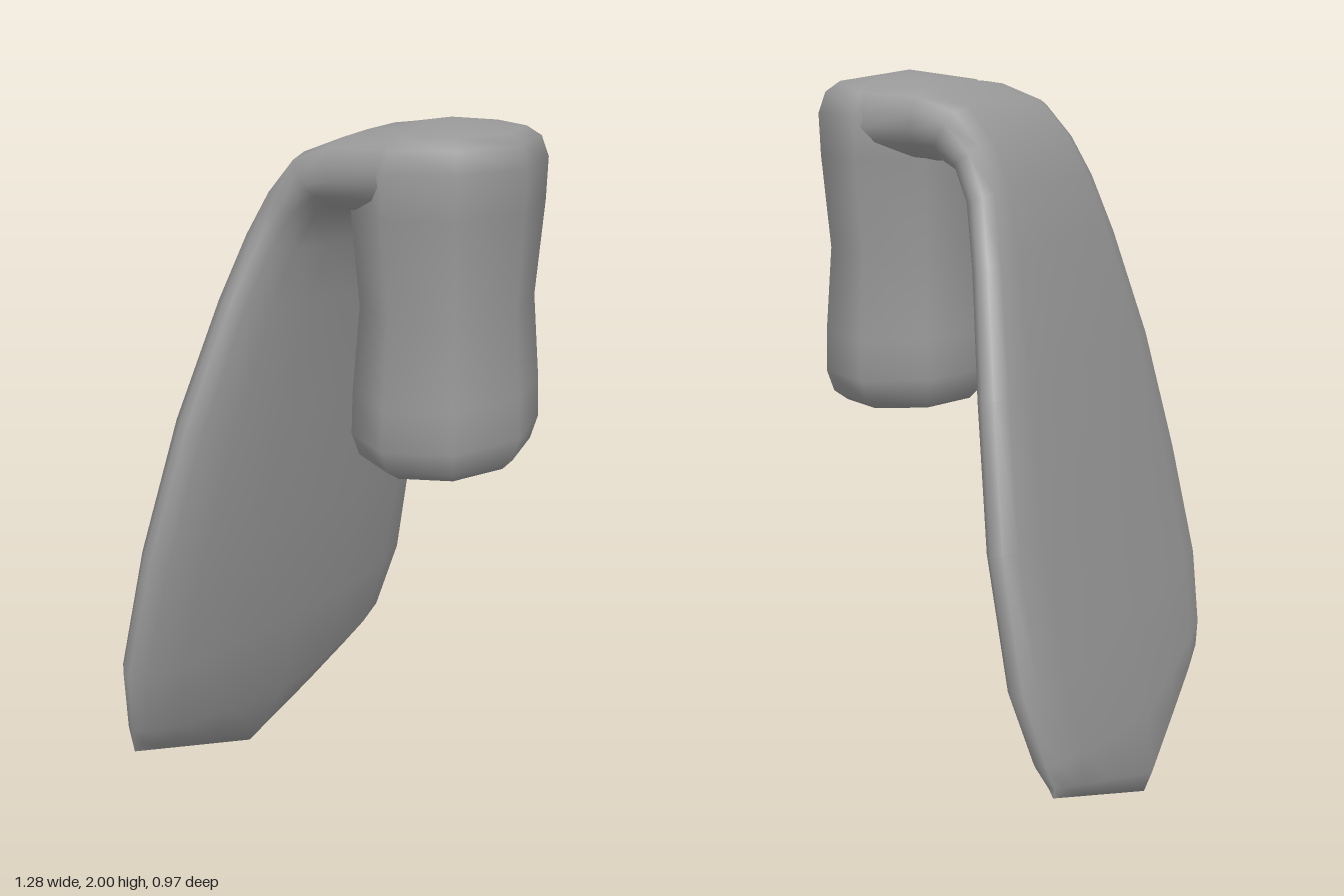
import * as THREE from 'three';
import { mergeVertices } from 'three/addons/utils/BufferGeometryUtils.js';

// Skin closed rings of [x, y, z] points into one smooth surface
function loft(rings) {
  const n = rings[0].length;
  const index = [];
  for (let i = 0; i < rings.length - 1; i++) {
    for (let j = 0; j < n; j++) {
      const a = i * n + j, b = i * n + (j + 1) % n;
      index.push(a, b, a + n, b, b + n, a + n);
    }
  }
  let geo = new THREE.BufferGeometry();
  geo.setAttribute('position', new THREE.Float32BufferAttribute(rings.flat(2), 3));
  geo.setIndex(index);
  geo = mergeVertices(geo, 1e-4);
  geo.computeVertexNormals();
  return geo;
}

// Waisted eight-sided block: [y, half width, half depth]
function bodyGeometry() {
  const rows = [
    [1.075, 0, 0], [1.1, 0.225, 0.178], [1.13, 0.275, 0.208], [1.19, 0.3, 0.225],
    [1.3, 0.297, 0.222], [1.53, 0.275, 0.205], [1.78, 0.305, 0.222], [1.89, 0.31, 0.225],
    [1.945, 0.28, 0.21], [1.972, 0.225, 0.178], [2, 0, 0],
  ];
  return loft(rows.map(([y, w, d]) => Array.from({ length: 8 }, (_, k) => {
    const a = k * Math.PI / 4;
    return [w * Math.sin(a), y, 0.26 + d * Math.cos(a)];
  })));
}

// Draped flap: [y, z, half width, front thickness, back thickness, tilt, rise at the rim]
function flapGeometry() {
  const rows = [
    [0.005, -0.465, 0.555, 0, 0, 0.2, 0.225],
    [0.06, -0.452, 0.565, 0.03, 0.036, 0.2, 0.2],
    [0.23, -0.405, 0.59, 0.075, 0.068, 0.2, 0.09],
    [0.52, -0.34, 0.64, 0.085, 0.083, 0.2, 0],
    [0.86, -0.27, 0.61, 0.086, 0.086, 0.19, 0],
    [1.22, -0.205, 0.52, 0.084, 0.086, 0.19, 0],
    [1.53, -0.14, 0.41, 0.078, 0.08, 0.22, 0],
    [1.69, -0.095, 0.345, 0.078, 0.08, 0.32, 0],
    [1.785, -0.045, 0.315, 0.08, 0.085, 0.55, 0],
    [1.845, 0.02, 0.308, 0.1, 0.1, 0.95, 0],
    [1.86, 0.1, 0.308, 0.11, 0.115, 1.45, 0],
    [1.86, 0.25, 0.3, 0.11, 0.125, 1.57, 0],
  ];
  // Across the flap: [side position, share of the thickness]
  const front = [[-1, 0], [-0.93, 0.35], [-0.75, 0.7], [-0.4, 0.93], [0, 1],
    [0.4, 0.93], [0.75, 0.7], [0.93, 0.35]];
  const back = [[1, 0], [0.985, 0.35], [0.94, 0.7], [0.75, 0.87], [0.4, 0.95], [0, 1],
    [-0.4, 0.95], [-0.75, 0.87], [-0.94, 0.7], [-0.985, 0.35]];
  return loft(rows.map(([y, z, w, tf, tb, tilt, rise]) => {
    const point = t => ([s, share]) => [
      w * s,
      y + rise * Math.abs(s) + t * share * Math.sin(tilt),
      z + 0.21 * rise * Math.abs(s) - t * share * Math.cos(tilt),
    ];
    return [...front.map(point(-tf)), ...back.map(point(tb))];
  }));
}

export function createModel() {
  const grey = new THREE.MeshStandardMaterial({ color: 0x999999 });
  grey.name = 'grey';
  const group = new THREE.Group();
  const parts = { body: bodyGeometry(), flap: flapGeometry() };
  for (const [name, geometry] of Object.entries(parts)) {
    const mesh = new THREE.Mesh(geometry, grey);
    mesh.name = name;
    group.add(mesh);
  }
  return group;
}
